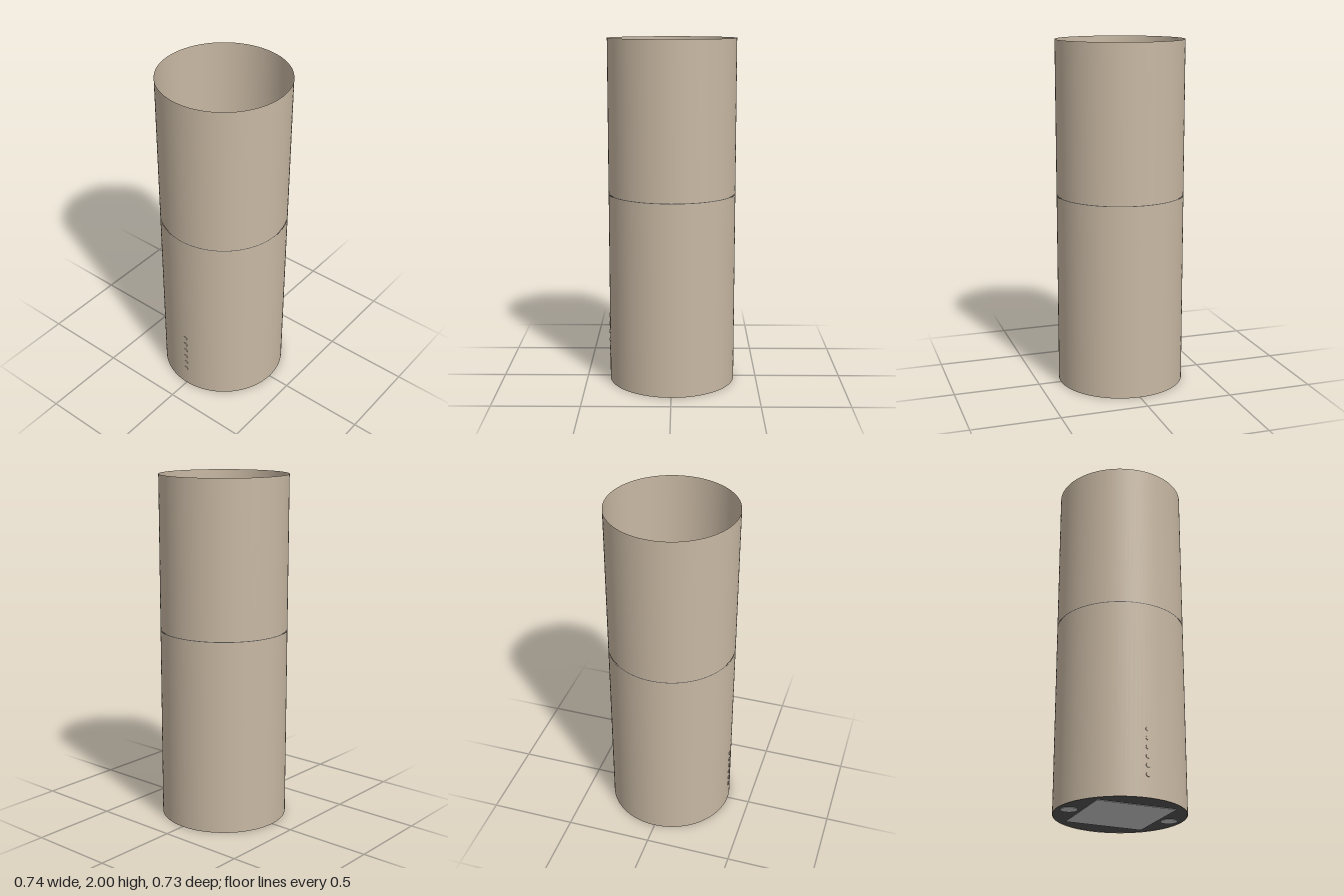
import * as THREE from 'three';

const R = 0.367;      // tube radius
const SEAM = 1.115;   // height of the joint between the two tubes
const CX = 0.002;     // tube axis, nudged so the side studs stay inside the bounds

export function createModel() {
  const group = new THREE.Group();
  const shell = new THREE.MeshStandardMaterial({ color: 0xc8b8a3, side: THREE.DoubleSide });
  const dark = new THREE.MeshStandardMaterial({ color: 0x555555 });
  const grey = new THREE.MeshStandardMaterial({ color: 0xcccccc });

  const add = (name, geometry, material, x, y, z) => {
    const mesh = new THREE.Mesh(geometry, material);
    mesh.name = name;
    mesh.position.set(x, y, z);
    group.add(mesh);
    return mesh;
  };

  // Thin open tube between two heights
  const tube = (name, y0, y1) =>
    add(name, new THREE.CylinderGeometry(R, R, y1 - y0, 96, 1, true), shell, CX, (y0 + y1) / 2, 0);
  tube('lowerTube', 0, SEAM - 0.002);
  tube('upperTube', SEAM + 0.002, 2);

  // Narrow dark joint behind the seam
  const joint = add('seamRing', new THREE.CylinderGeometry(R - 0.003, R - 0.003, 0.012, 96, 1, true),
    dark.clone(), CX, SEAM, 0);
  joint.material.side = THREE.DoubleSide;

  // Base plate with a square panel and two round feet showing on both faces
  add('basePlate', new THREE.CylinderGeometry(R - 0.002, R - 0.002, 0.012, 96), dark, CX, 0.009, 0);
  add('squarePanel', new THREE.BoxGeometry(0.455, 0.018, 0.457), grey, CX, 0.009, 0);
  for (const side of [-1, 1]) {
    add('roundFoot', new THREE.CylinderGeometry(0.047, 0.047, 0.018, 40), grey, CX + 0.002, 0.009, side * 0.295);
  }

  // Column of tiny studs low on the right side
  for (let i = 0; i < 6; i++) {
    const stud = add('sideStud', new THREE.CylinderGeometry(0.013, 0.013, 0.008, 20), shell,
      CX - R, 0.125 + i * 0.05, 0);
    stud.rotation.z = Math.PI / 2;
  }

  return group;
}
